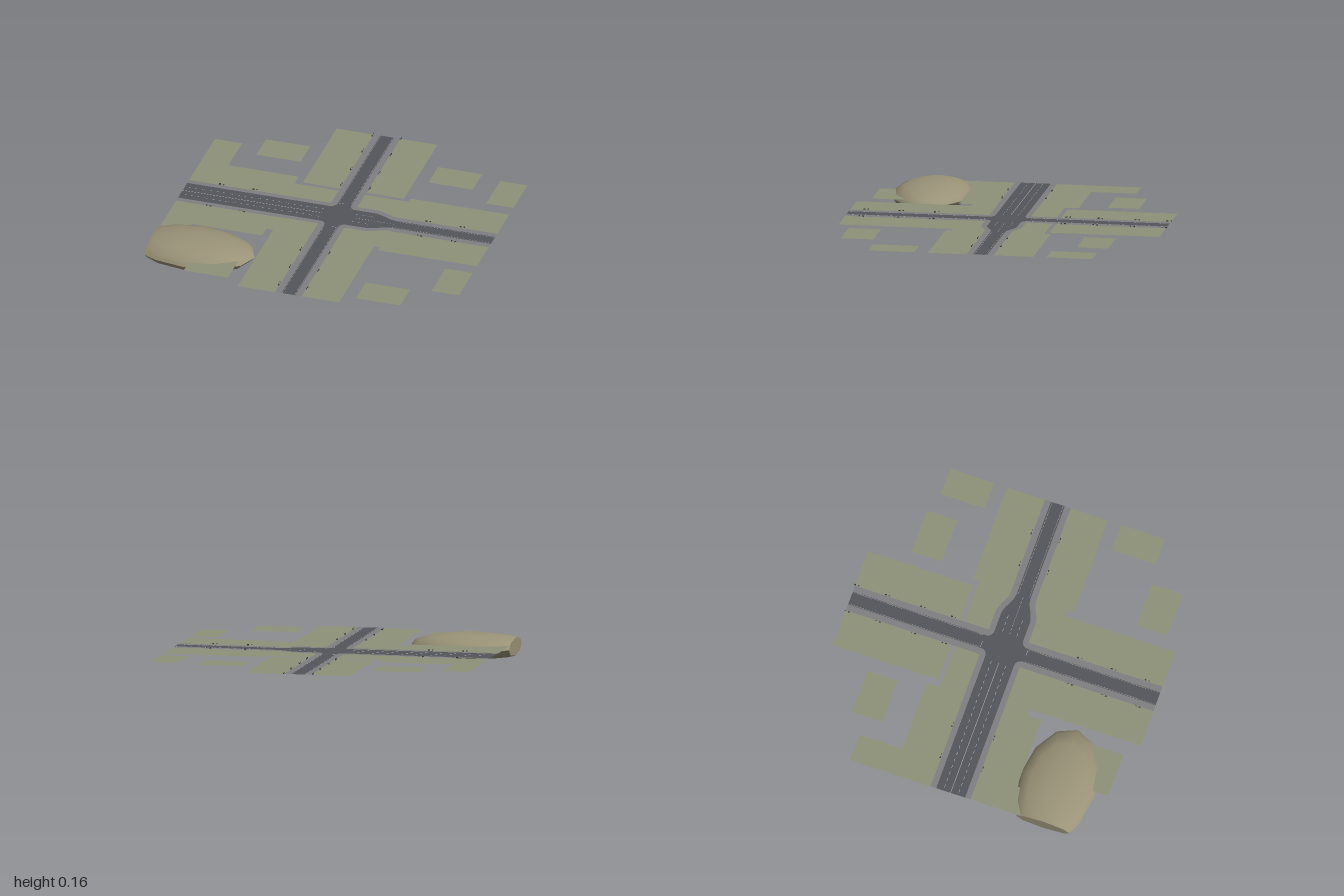
import * as THREE from 'three';
import { mergeGeometries, toCreasedNormals } from 'three/addons/utils/BufferGeometryUtils.js';

const GROUND = 0.105, ROAD = 0.106, WALK = 0.1072, PAINT = 0.1068;
const mat = (color) => new THREE.MeshStandardMaterial({ color, side: THREE.DoubleSide, roughness: 0.9 });

// Flat upward-facing sheet from [x, z] corners
function sheet(points, y) {
  const shape = new THREE.Shape(points.map(([x, z]) => new THREE.Vector2(x, -z)));
  return new THREE.ShapeGeometry(shape).rotateX(-Math.PI / 2).translate(0, y, 0);
}
const rect = (x0, x1, z0, z1, y) => sheet([[x0, z0], [x1, z0], [x1, z1], [x0, z1]], y);

// Quarter-round street corner between an arm along z and an arm along x
function corner(sx, sz, x, z, r, steps = 5) {
  const pts = [];
  for (let i = 0; i <= steps; i++) {
    const a = (i / steps) * Math.PI / 2;
    pts.push([sx * (x + r - r * Math.cos(a)), sz * (z + r - r * Math.sin(a))]);
  }
  return pts;
}

// Kerb line of one quadrant, from the end of the z arm to the end of the x arm
function kerb(sx, sz, x, wide, narrow, r) {
  const pts = [[sx * x, sz], ...corner(sx, sz, x, wide, r)];
  if (sx > 0) {
    // the wide road tapers into the narrow one
    for (let i = 0; i <= 6; i++) {
      const t = i / 6, s = t * t * (3 - 2 * t);
      pts.push([0.21 + 0.15 * t, sz * (wide + (narrow - wide) * s)]);
    }
    pts.push([1, sz * narrow]);
  } else pts.push([-1, sz * wide]);
  return pts;
}

export function createModel() {
  const model = new THREE.Group();
  const add = (name, geometry, color) => {
    const mesh = new THREE.Mesh(geometry, mat(color));
    mesh.name = name;
    model.add(mesh);
  };

  // Grass: centre tile, strips beside each arm and loose plots
  const plots = [
    [-0.37, 0.365, -0.29, 0.285],
    [-1, -0.37, -0.375, -0.13], [-1, -0.37, 0.13, 0.37],
    [0.365, 1, -0.33, -0.085], [0.365, 1, 0.085, 0.325],
    [-1, -0.825, -0.655, -0.375], [-1, -0.825, 0.37, 0.65],
    [0.825, 1, -0.7, -0.415], [0.825, 1, 0.41, 0.695],
  ];
  for (const s of [-1, 1]) {
    const [a, b] = s < 0 ? [-0.325, -0.085] : [0.085, 0.325];
    plots.push([a, b, -1, -0.315], [a, b, 0.285, 1]);
    const [c, d] = s < 0 ? [-0.7, -0.415] : [0.41, 0.695];
    plots.push([c, d, -0.745, -0.55], [c, d, 0.72, 0.92]);
  }
  add('grass', mergeGeometries(plots.map((p) => rect(...p, GROUND))), 0x8f9278);

  // Carriageway: the four kerb lines joined into one crossing
  const inner = (sx, sz) => kerb(sx, sz, 0.045, 0.094, 0.045, 0.04);
  const outline = [
    ...inner(1, -1), ...inner(1, 1).reverse(),
    ...inner(-1, 1), ...inner(-1, -1).reverse(),
  ];
  add('road', sheet(outline, ROAD), 0x54555c);

  // Pavements, one bent strip per quadrant
  const walks = [];
  for (const sx of [-1, 1]) for (const sz of [-1, 1]) {
    const outer = kerb(sx, sz, 0.085, 0.13, 0.083, 0.008);
    walks.push(sheet([...inner(sx, sz), ...outer.reverse()], WALK));
  }
  add('pavement', mergeGeometries(walks), 0x807f82);

  // Painted markings: lane dashes, centre lines, edge lines, stop lines
  const paint = [];
  const t = 0.0015;
  for (const z of [-0.047, 0.047]) {
    for (let x = -0.98; x < 0.22; x += 0.045) {
      if (x < -0.1 || x > 0.08) paint.push(rect(x, x + 0.02, z - t, z + t, PAINT));
    }
  }
  for (const s of [-1, 1]) {
    paint.push(rect(0.36, 1, s * 0.036 - t / 2, s * 0.036 + t / 2, PAINT));
    for (const [z0, z1] of [[-1, -0.15], [0.15, 1]]) {
      paint.push(rect(s * 0.04 - t / 2, s * 0.04 + t / 2, z0, z1, PAINT));
    }
    paint.push(rect(s < 0 ? -0.04 : 0, s < 0 ? 0 : 0.04, s * 0.142 - t, s * 0.142 + t, PAINT));
  }
  paint.push(rect(-1, -0.1, -t, t, PAINT), rect(0.1, 0.36, -t / 2, t / 2, PAINT));
  add('laneMarkings', mergeGeometries(paint), 0xb4b4b6);

  // Street furniture: a bench with a small bin and post beside the pavements
  const furniture = [];
  const place = (x, z, turn) => {
    const set = mergeGeometries([
      new THREE.BoxGeometry(0.012, 0.002, 0.006).translate(0.012, 0.005, 0),
      new THREE.BoxGeometry(0.012, 0.005, 0.001).translate(0.012, 0.0075, 0.003),
      new THREE.BoxGeometry(0.001, 0.005, 0.005).translate(0.008, 0.0025, 0),
      new THREE.BoxGeometry(0.001, 0.005, 0.005).translate(0.016, 0.0025, 0),
      new THREE.BoxGeometry(0.008, 0.004, 0.003).translate(-0.012, 0.008, 0),
      new THREE.BoxGeometry(0.001, 0.008, 0.001).translate(-0.012, 0.004, 0),
    ]);
    furniture.push(set.rotateY(turn).translate(x, GROUND, z));
  };
  for (const s of [-1, 1]) {
    for (const z of [-0.99, -0.79, -0.56, -0.36, 0.46, 0.68, 0.9]) {
      place(s * 0.09, z, s * Math.PI / 2);
    }
    for (const x of [-0.79, -0.575]) place(x, s * 0.135, s > 0 ? 0 : Math.PI);
    for (const x of [0.555, 0.775]) place(x, s * 0.09, s > 0 ? 0 : Math.PI);
  }
  add('streetFurniture', mergeGeometries(furniture), 0x3a3b40);

  // Mound: flattened ball, cut flat where it reaches the edge of the plot
  const rx = 0.385, ry = 0.079, rz = 0.24, cx = -0.73;
  const ball = new THREE.SphereGeometry(1, 12, 8);
  const pos = ball.attributes.position;
  const cut = (-1 - cx) / rx, rim = Math.sqrt(1 - cut * cut);
  for (let i = 0; i < pos.count; i++) {
    let x = pos.getX(i), y = pos.getY(i), z = pos.getZ(i);
    if (x < cut) {
      const d = Math.hypot(y, z), k = d > 1e-4 ? rim / d : 0;
      x = cut; y *= k; z *= k;
    }
    pos.setXYZ(i, cx + x * rx, ry + y * ry, 0.6 + z * rz);
  }
  ball.deleteAttribute('normal');
  add('mound', toCreasedNormals(ball, 0.8), 0x9a9378);

  return model;
}
